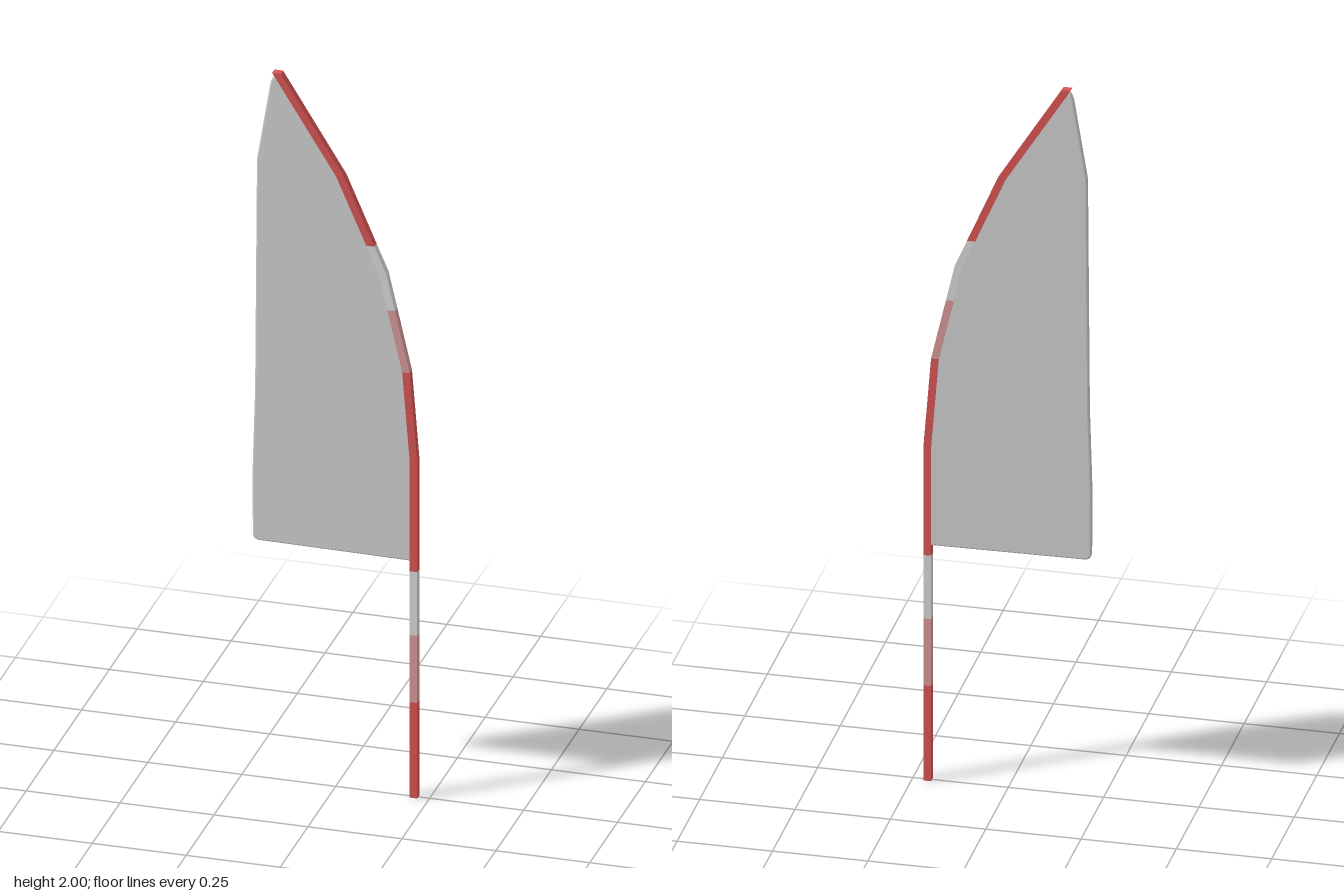
import * as THREE from 'three';

const mat = (name, color) => {
  const m = new THREE.MeshStandardMaterial({ color });
  m.name = name;
  return m;
};

// Outer edge of the curved pole, as [x, y, horizontal width]
const EDGE = [
  [0.22, 0, 0.02], [0.22, 0.95, 0.02], [0.2, 1.2, 0.02],
  [0.138, 1.47, 0.021], [0.026, 1.73, 0.022], [-0.143, 2, 0.023],
];

function edgeAt(y) {
  let i = 0;
  while (i < EDGE.length - 2 && y > EDGE[i + 1][1]) i++;
  const [a, b] = [EDGE[i], EDGE[i + 1]];
  const t = (y - a[1]) / (b[1] - a[1]);
  return [a[0] + (b[0] - a[0]) * t, y, a[2] + (b[2] - a[2]) * t];
}

// All pole edge points between two heights
const edgeBetween = (y0, y1) =>
  [edgeAt(y0), ...EDGE.filter((p) => p[1] > y0 && p[1] < y1), edgeAt(y1)];

export function createModel() {
  const red = mat('red', 0xd85555);
  const pink = mat('pink', 0xd89a9a);
  const white = mat('white', 0xd8d8d8);
  const cloth = mat('cloth', 0xd0d0d0);
  const model = new THREE.Group();
  model.name = 'featherBanner';

  // Pole in colour bands following the curve
  const pole = new THREE.Group();
  pole.name = 'pole';
  const bands = [
    [0, 0.27, red], [0.27, 0.46, pink], [0.46, 0.64, white], [0.64, 1.2, red],
    [1.2, 1.37, pink], [1.37, 1.545, white], [1.545, 2, red],
  ];
  bands.forEach(([y0, y1, material], i) => {
    const pts = edgeBetween(y0, y1);
    const outline = [
      ...pts.map(([x, y]) => new THREE.Vector2(x, y)),
      ...pts.slice().reverse().map(([x, y, w]) => new THREE.Vector2(x - w, y)),
    ];
    const geo = new THREE.ExtrudeGeometry(new THREE.Shape(outline), { depth: 0.021, bevelEnabled: false });
    geo.translate(0, 0, -0.0105);
    const band = new THREE.Mesh(geo, material);
    band.name = 'poleBand' + (i + 1);
    pole.add(band);
  });
  model.add(pole);

  // Fabric panel with rounded free corners, tucked into the pole
  const s = new THREE.Shape();
  s.moveTo(-0.2, 0.672);
  s.lineTo(0.205, 0.668);
  edgeBetween(0.7, 1.985).forEach(([x, y, w]) => s.lineTo(x - w * 0.7, y));
  s.quadraticCurveTo(-0.163, 2.003, -0.172, 1.97);
  s.lineTo(-0.208, 1.75);
  s.lineTo(-0.213, 1.1);
  s.lineTo(-0.22, 0.86);
  s.lineTo(-0.219, 0.69);
  s.quadraticCurveTo(-0.219, 0.672, -0.2, 0.672);
  const geo = new THREE.ExtrudeGeometry(s, {
    depth: 0.01, bevelEnabled: true, bevelThickness: 0.004, bevelSize: 0.004,
    bevelOffset: -0.004, bevelSegments: 2, curveSegments: 6,
  });
  geo.translate(0, 0, -0.005);
  const panel = new THREE.Mesh(geo, cloth);
  panel.name = 'fabricPanel';
  model.add(panel);

  return model;
}
